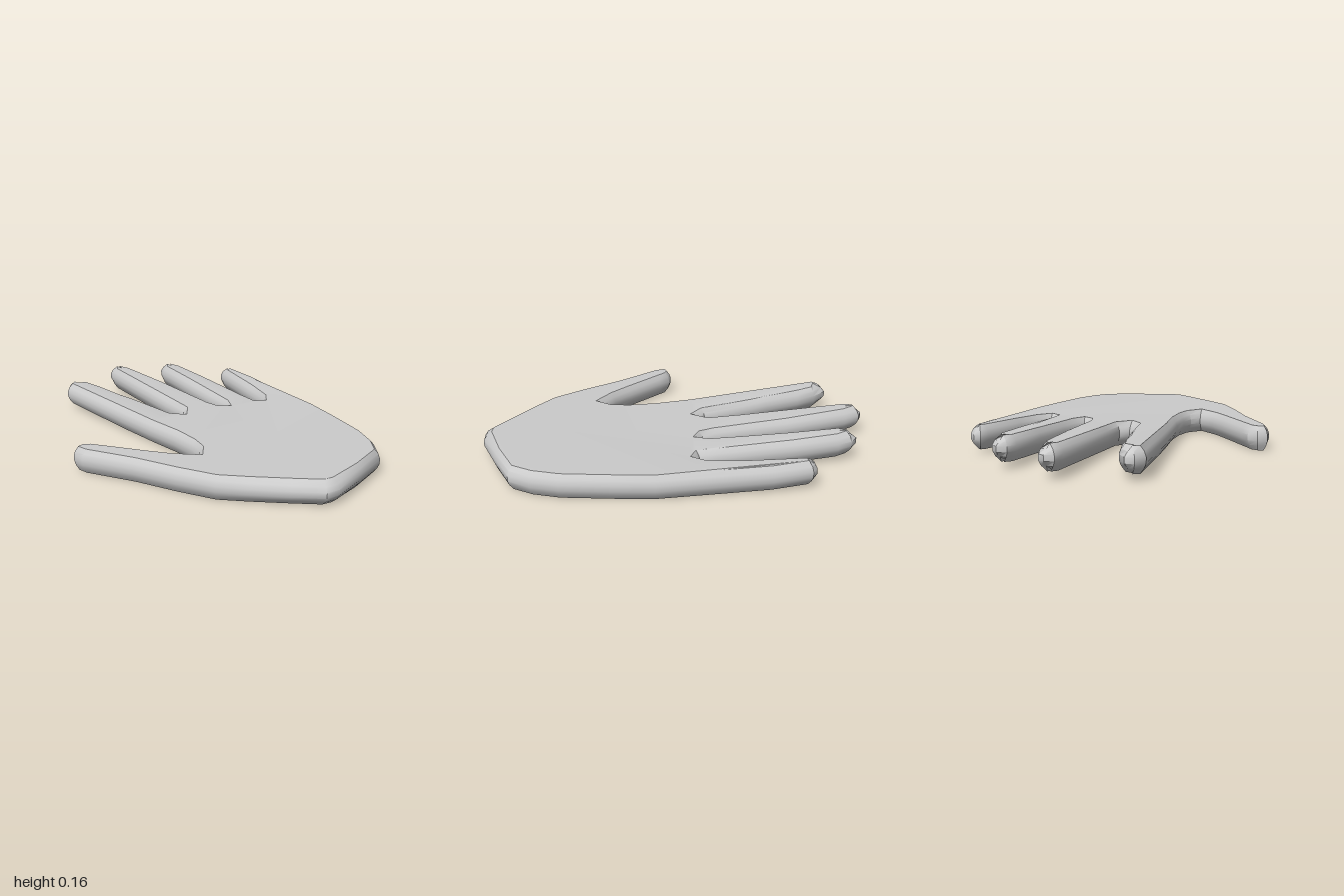
import * as THREE from 'three';
import { toCreasedNormals } from 'three/addons/utils/BufferGeometryUtils.js';

// Outline seen from above as [x, z, rim inset], running thumb to little finger.
const thumb = [
  [-0.695, 0.125], [-0.71, 0.05, 0.02], [-0.665, 0.02, 0.025], [-0.61, 0.03], [-0.56, 0.08], [-0.39, 0.25],
  [-0.3, 0.335], [-0.21, 0.39, 0.04], [-0.175, 0.34], [-0.17, 0.25], [-0.19, 0.11],
];
const indexFinger = [
  [-0.24, -0.08], [-0.3, -0.3], [-0.43, -0.79], [-0.4, -0.845, 0.04], [-0.355, -0.86, 0.06], [-0.295, -0.79],
  [-0.25, -0.69], [-0.19, -0.51], [-0.155, -0.43], [-0.065, -0.16], [-0.025, -0.14, 0.05], [0.01, -0.18],
];
const middleFinger = [
  [-0.01, -0.34], [-0.09, -0.91], [-0.08, -0.97, 0.04], [-0.04, -1, 0.08], [0.0, -0.98, 0.04], [0.035, -0.9],
  [0.12, -0.58], [0.2, -0.2], [0.225, -0.14], [0.25, -0.13, 0.04], [0.265, -0.17],
];
const ringFinger = [
  [0.255, -0.32], [0.235, -0.58], [0.21, -0.82], [0.225, -0.88, 0.04], [0.265, -0.915, 0.08], [0.31, -0.88, 0.04],
  [0.335, -0.81], [0.38, -0.58], [0.435, -0.2], [0.45, -0.115], [0.475, -0.105, 0.035], [0.505, -0.15],
];
const littleFinger = [
  [0.52, -0.32], [0.52, -0.61], [0.535, -0.66, 0.035], [0.575, -0.665, 0.05], [0.61, -0.64, 0.035],
  [0.645, -0.45], [0.665, -0.21],
];
const palm = [
  [0.705, 0.1], [0.7, 0.29], [0.685, 0.55], [0.65, 0.69], [0.59, 0.8], [0.4, 0.895],
  [0.205, 0.985, 0.045], [0.13, 0.99, 0.05], [0, 0.9, 0.045], [-0.155, 0.79, 0.04], [-0.275, 0.69],
  [-0.395, 0.53], [-0.525, 0.335],
];

// Rounded edge profile: [height, share of the rim inset]
const profile = [[0.005, 1], [0.032, 0.35], [0.056, 0.05], [0.084, 0.05], [0.108, 0.35], [0.131, 1]];

// The fingers rise gently towards their tips.
const lift = (z) => 0.038 * Math.pow(Math.max(0, (-z - 0.1) / 0.9), 1.2);

// Counter-clockwise from above, with v = -z
function insetRing(outline, share) {
  const n = outline.length;
  return outline.map(([x, z, inset = 0.03], i) => {
    const p = new THREE.Vector2(x, -z);
    const a = outline[(i + n - 1) % n], b = outline[(i + 1) % n];
    const d1 = new THREE.Vector2(x - a[0], -z + a[1]).normalize();
    const d2 = new THREE.Vector2(b[0] - x, -b[1] + z).normalize();
    const n1 = new THREE.Vector2(-d1.y, d1.x), n2 = new THREE.Vector2(-d2.y, d2.x);
    const dir = n1.clone().add(n2).normalize();
    const mitre = Math.min(1.25, 1 / Math.max(0.5, dir.dot(n1)));
    return p.addScaledVector(dir, inset * share * mitre);
  });
}

function handGeometry(outline) {
  const n = outline.length;
  const positions = [], indices = [];
  const rings = profile.map(([, share]) => insetRing(outline, share));
  rings.forEach((ring, k) => {
    for (const p of ring) positions.push(p.x, profile[k][0] + lift(-p.y), -p.y);
  });
  // Rounded side wall
  for (let k = 0; k < rings.length - 1; k++) {
    for (let i = 0; i < n; i++) {
      const j = (i + 1) % n, lo = k * n, hi = lo + n;
      indices.push(lo + i, lo + j, hi + j, lo + i, hi + j, hi + i);
    }
  }
  // Flat back and palm faces
  const top = (rings.length - 1) * n;
  for (const [a, b, c] of THREE.ShapeUtils.triangulateShape(rings[0], [])) {
    indices.push(top + a, top + b, top + c, c, b, a);
  }
  const geometry = new THREE.BufferGeometry();
  geometry.setAttribute('position', new THREE.Float32BufferAttribute(positions, 3));
  geometry.setIndex(indices);
  return toCreasedNormals(geometry, 0.6);
}

export function createModel() {
  const outline = [thumb, indexFinger, middleFinger, ringFinger, littleFinger, palm].flat().reverse();
  const material = new THREE.MeshStandardMaterial({ color: 0xcccccc });
  const hand = new THREE.Mesh(handGeometry(outline), material);
  hand.name = 'openHand';
  const group = new THREE.Group();
  group.name = 'hand';
  group.add(hand);
  return group;
}
